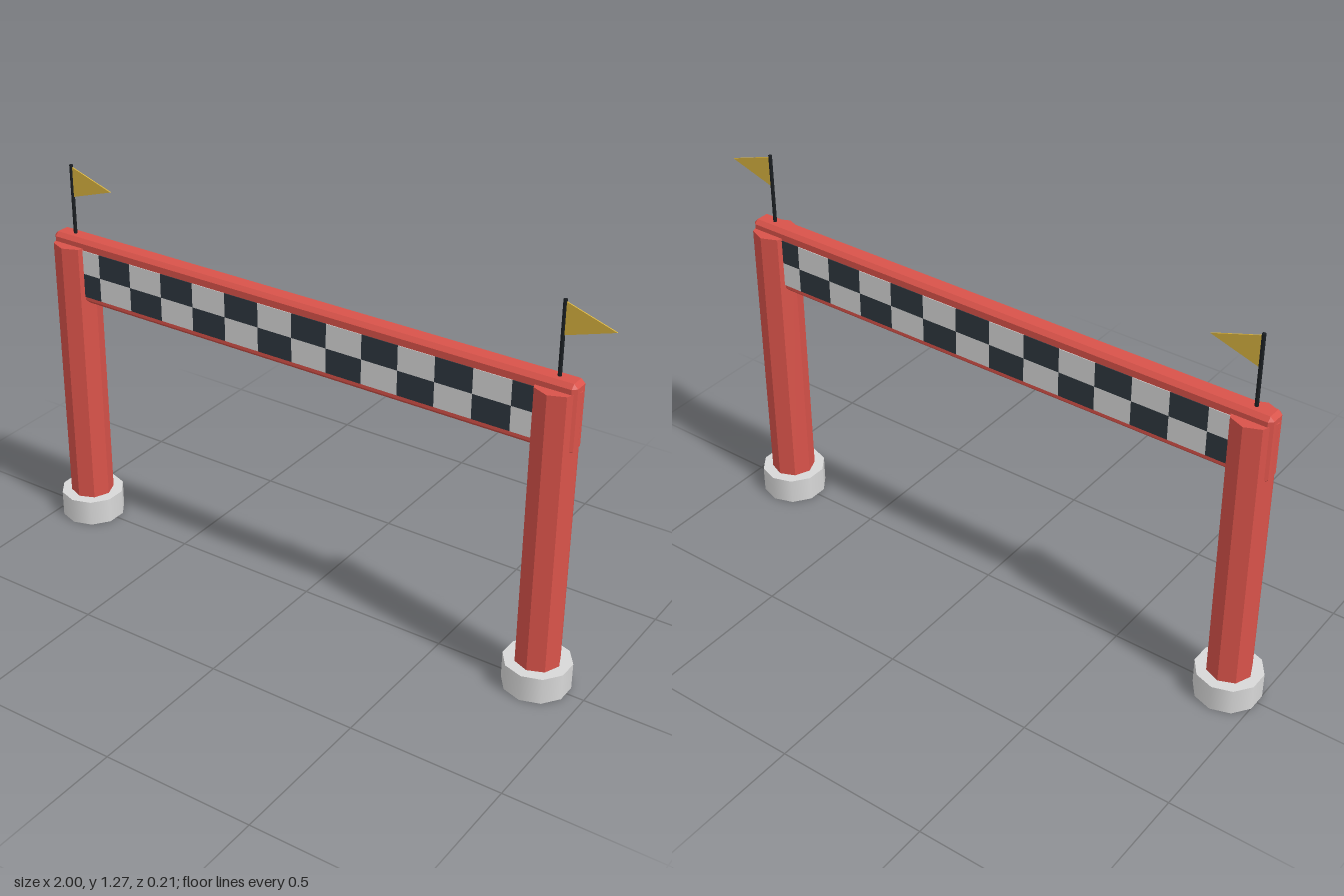
import * as THREE from 'three';
import { mergeGeometries } from 'three/addons/utils/BufferGeometryUtils.js';
import { ConvexGeometry } from 'three/addons/geometries/ConvexGeometry.js';

const material = (name, color, extra = {}) => {
  const m = new THREE.MeshStandardMaterial({ color, ...extra });
  m.name = name;
  return m;
};

// Box with every edge cut by a flat chamfer
function chamferedBox(w, h, d, c) {
  const points = [];
  const half = [w / 2, h / 2, d / 2];
  for (const sx of [-1, 1]) for (const sy of [-1, 1]) for (const sz of [-1, 1]) {
    for (let axis = 0; axis < 3; axis++) {
      const [x, y, z] = half.map((v, i) => (i === axis ? v : v - c));
      points.push(new THREE.Vector3(sx * x, sy * y, sz * z));
    }
  }
  return new ConvexGeometry(points);
}

export function createModel() {
  const red = material('red paint', 0xd9534a);
  const light = material('light grey', 0xd8d8d8);
  const dark = material('dark slate', 0x2e373f);
  const black = material('pole black', 0x1b1f23);
  const gold = material('flag gold', 0xd9b440);
  red.flatShading = true;

  const model = new THREE.Group();
  model.name = 'finishArch';
  const add = (parent, name, geometry, mat, x = 0, y = 0, z = 0) => {
    const mesh = new THREE.Mesh(geometry, mat);
    mesh.name = name;
    mesh.position.set(x, y, z);
    parent.add(mesh);
    return mesh;
  };

  const leftX = -0.9, rightX = 0.84, midX = (leftX + rightX) / 2;

  // Triangular pennant outline, relative to the pole
  const pennant = new THREE.Shape([
    new THREE.Vector2(0.004, 1.267),
    new THREE.Vector2(0.004, 1.167),
    new THREE.Vector2(0.158, 1.217),
  ]);
  const flagGeometry = new THREE.ExtrudeGeometry(pennant, { depth: 0.004, bevelEnabled: false });

  // Two supports: foot, octagonal post, pole and flag
  for (const [side, x] of [['right', leftX], ['left', rightX]]) {
    const support = new THREE.Group();
    support.name = side + 'Support';
    support.position.x = x;
    add(support, 'foot', new THREE.CylinderGeometry(0.107, 0.107, 0.088, 10), light, 0, 0.044);
    add(support, 'post', new THREE.CylinderGeometry(0.072, 0.072, 1.003, 8), red, 0, 0.5115);
    add(support, 'flagPole', new THREE.CylinderGeometry(0.006, 0.006, 0.243, 6), black, 0, 1.1525);
    add(support, 'flag', flagGeometry, gold, 0, 0, -0.002);
    model.add(support);
  }

  // Crossbeam running through both posts
  add(model, 'crossbeam', chamferedBox(1.876, 0.222, 0.069, 0.013), red, midX, 0.931);

  // Chequered plates on the front and back of the beam
  const columns = 14, cellW = (rightX - leftX) / columns, cellH = 0.081;
  const cells = [[], []];
  for (const z of [-0.0345, 0.0345]) {
    for (let row = 0; row < 2; row++) {
      for (let col = 0; col < columns; col++) {
        const cell = new THREE.BoxGeometry(cellW, cellH, 0.004);
        cell.translate(leftX + (col + 0.5) * cellW, 0.926 + (0.5 - row) * cellH, z);
        cells[(row + col) % 2].push(cell);
      }
    }
  }
  add(model, 'lightChecks', mergeGeometries(cells[0]), light);
  add(model, 'darkChecks', mergeGeometries(cells[1]), dark);

  return model;
}
